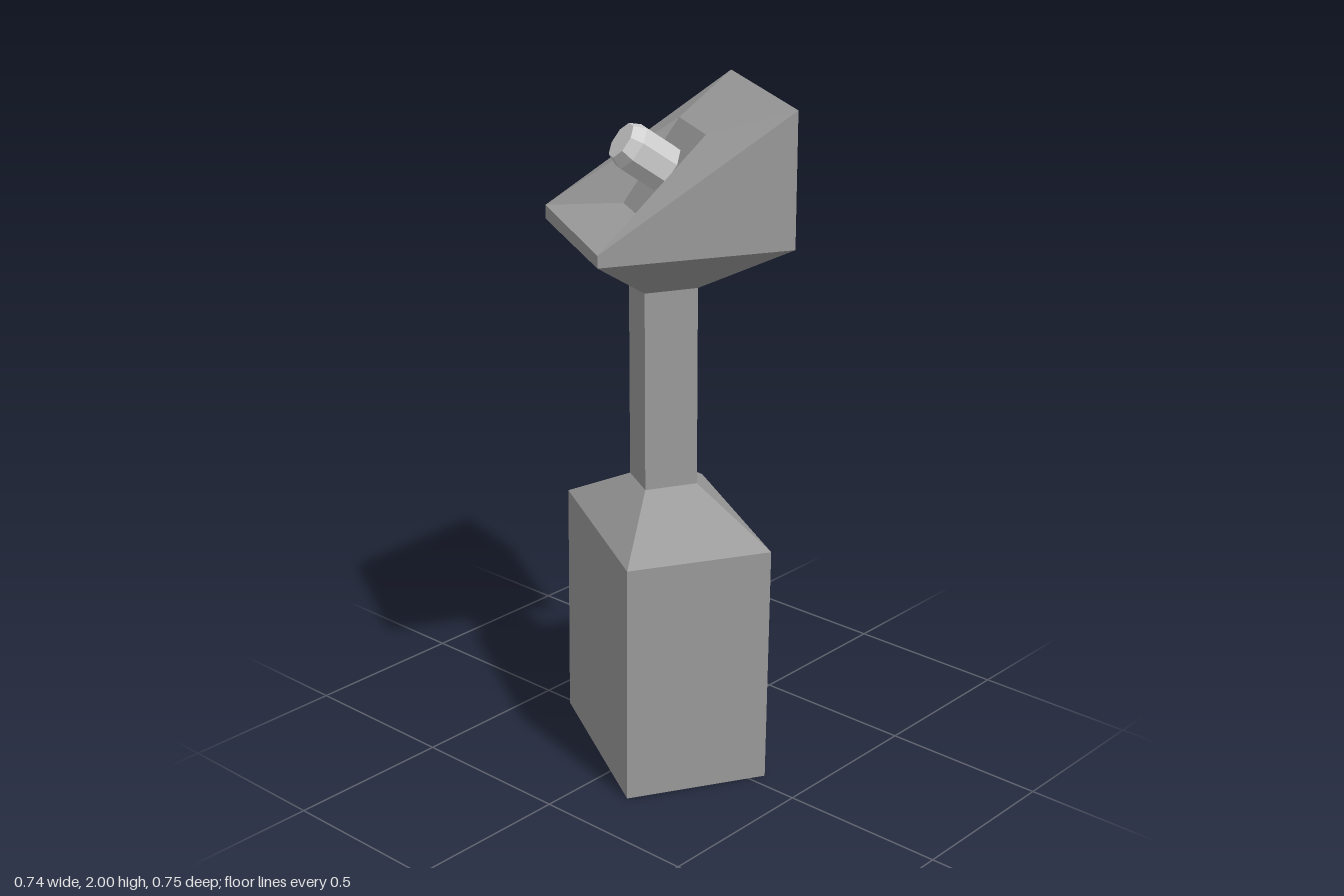
import * as THREE from 'three';

const grey = new THREE.MeshStandardMaterial({ color: 0x999999, flatShading: true, side: THREE.DoubleSide });
const pale = new THREE.MeshStandardMaterial({ color: 0xcccccc, flatShading: true });

// A ring is four [x, y, z] corners: front, right, back, left.
const ring = (plan, y) => plan.map(([x, z], i) => [x, Array.isArray(y) ? y[i] : y, z]);

// Quad split along a-c
const quad = (a, b, c, d) => [a, b, c, a, c, d];

// Four-sided band between two rings; skip leaves a side open, flip changes a side's diagonal
function band(lo, hi, { skip = -1, flip = -1 } = {}) {
  const out = [];
  for (let i = 0; i < 4; i++) {
    if (i === skip) continue;
    const j = (i + 1) % 4;
    out.push(...(i === flip ? quad(lo[j], hi[j], hi[i], lo[i]) : quad(lo[i], lo[j], hi[j], hi[i])));
  }
  return out;
}

function faceMesh(name, points) {
  const geo = new THREE.BufferGeometry();
  geo.setAttribute('position', new THREE.Float32BufferAttribute(points.flat(), 3));
  geo.computeVertexNormals();
  const mesh = new THREE.Mesh(geo, grey);
  mesh.name = name;
  return mesh;
}

export function createModel() {
  const model = new THREE.Group();
  model.name = 'pedestalPost';

  const floorPlan = [[0.045, 0.358], [0.34, -0.162], [-0.033, -0.373], [-0.328, 0.148]];
  const basePlan = [[0.045, 0.367], [0.34, -0.153], [-0.033, -0.364], [-0.33, 0.156]];
  const postPlan = [[0.05, 0.08], [0.12, -0.045], [-0.02, -0.12], [-0.09, 0.005]];
  const headPlan = [[0.115, 0.375], [0.372, -0.08], [-0.115, -0.355], [-0.372, 0.095]];
  const seatPlan = [[0.005, 0.145], [0.115, -0.05], [-0.025, -0.135], [-0.14, 0.06]];

  // Hollow base, slightly tilted, open at the back under a lintel
  const floor = ring(floorPlan, [0, 0.01, 0.014, 0.002]);
  const baseTop = ring(basePlan, [0.728, 0.738, 0.74, 0.73]);
  const lintelLow = ring(basePlan, 0.535);
  model.add(faceMesh('base', [
    ...band(floor, baseTop, { skip: 1 }),
    ...quad(...[...floor].reverse()),
    ...quad(...baseTop),
  ]));
  model.add(faceMesh('lintel', quad(lintelLow[1], lintelLow[2], baseTop[2], baseTop[1])));

  // Sloped shoulder, square post and flared neck
  const postLow = ring(postPlan, 0.86);
  const postHigh = ring(postPlan, 1.453);
  const headLow = ring(headPlan, 1.607);
  model.add(faceMesh('baseShoulder', band(baseTop, postLow)));
  model.add(faceMesh('post', band(postLow, postHigh)));
  model.add(faceMesh('neck', band(postHigh, headLow)));

  // Wedge head with a sunken, steeper seat in its sloping top
  const headRim = ring(headPlan, [1.993, 2, 1.648, 1.642]);
  const seat = ring(seatPlan, [1.91, 1.91, 1.676, 1.676]);
  model.add(faceMesh('headSides', band(headLow, headRim)));
  model.add(faceMesh('headTop', band(headRim, seat, { flip: 1 })));
  model.add(faceMesh('buttonSeat', quad(...seat)));

  // Paler eight-sided button standing square to the seat
  const button = new THREE.Group();
  button.name = 'button';
  const across = new THREE.Vector3(-0.5, 0, 0.866).normalize();
  const axis = new THREE.Vector3(-0.708, 0.577, -0.409).normalize();
  button.quaternion.setFromRotationMatrix(
    new THREE.Matrix4().makeBasis(across, axis, across.clone().cross(axis)));
  button.position.set(-0.008, 1.797, 0.003);
  const addRound = (name, rTop, rLow, from, to) => {
    const geo = new THREE.CylinderGeometry(rTop, rLow, to - from, 8).rotateY(Math.PI / 8);
    const mesh = new THREE.Mesh(geo.translate(0, (from + to) / 2, 0), pale);
    mesh.name = name;
    button.add(mesh);
  };
  addRound('buttonStem', 0.071, 0.071, -0.01, 0.115);
  addRound('buttonCap', 0.055, 0.071, 0.115, 0.15);
  model.add(button);

  return model;
}
